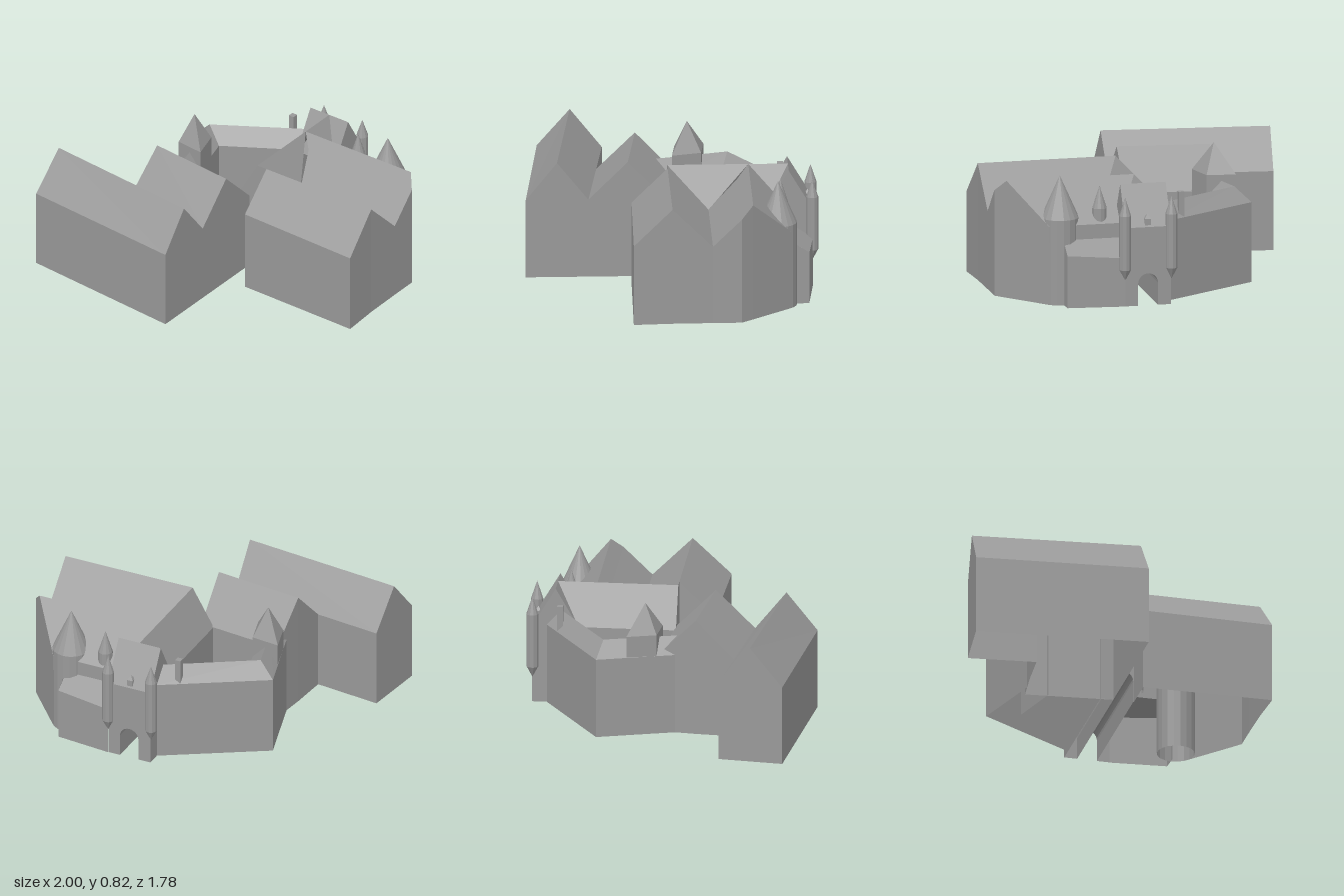
import * as THREE from 'three';

// The buildings are hollow shells, open underneath
const stone = new THREE.MeshStandardMaterial({ color: 0x999999, side: THREE.DoubleSide });
stone.name = 'stone';

// Faceted mesh
function part(group, name, geometry) {
  const g = geometry.index ? geometry.toNonIndexed() : geometry;
  g.computeVertexNormals();
  const mesh = new THREE.Mesh(g, stone);
  mesh.name = name;
  group.add(mesh);
  return mesh;
}

// Shell through matching cross-sections of [x, y, z]; caps is 'both', 'first' or 'none'
function loft(sections, caps = 'none', closed = false) {
  const tris = [];
  const add = (a, b, c) => {
    const [p, q, r] = [a, b, c].map((v) => new THREE.Vector3(...v));
    const area = q.clone().sub(p).cross(r.clone().sub(p)).length();
    if (area > 1e-7) tris.push([p, q, r]);
  };
  const n = sections[0].length;
  for (let i = 0; i + 1 < sections.length; i++) {
    const s = sections[i], t = sections[i + 1];
    for (let j = 0; j < (closed ? n : n - 1); j++) {
      const k = (j + 1) % n;
      add(s[j], s[k], t[k]);
      add(s[j], t[k], t[j]);
    }
  }
  const first = sections[0], last = sections[sections.length - 1];
  for (let j = 1; j + 1 < n; j++) {
    if (caps !== 'none') add(first[0], first[j + 1], first[j]);
    if (caps === 'both') add(last[0], last[j], last[j + 1]);
  }
  // Turn the shell outward if it came out inside-out
  const c = new THREE.Vector3(...first[0]);
  let volume = 0;
  for (const [p, q, r] of tris) {
    volume += p.clone().sub(c).dot(q.clone().sub(c).cross(r.clone().sub(c)));
  }
  const points = [];
  for (const [p, q, r] of tris) points.push(...(volume >= 0 ? [p, q, r] : [p, r, q]));
  return new THREE.BufferGeometry().setFromPoints(points);
}

// Cross-section of a wing from plan points [x, z] of its walls and ridge
function gable(back, ridge, front, eave, top) {
  return [
    [back[0], 0, back[1]],
    [back[0], eave, back[1]],
    [ridge[0], top, ridge[1]],
    [front[0], eave, front[1]],
    [front[0], 0, front[1]],
  ];
}

// Outline of the arched passage, from left foot to right foot
const ARCH = { x: 0.1235, r: 0.0625, spring: 0.1375 };
const archOutline = [[ARCH.x - ARCH.r, 0]];
for (let i = 0; i <= 12; i++) {
  const a = Math.PI * (1 - i / 12);
  archOutline.push([ARCH.x + ARCH.r * Math.cos(a), ARCH.spring + ARCH.r * Math.sin(a)]);
}
archOutline.push([ARCH.x + ARCH.r, 0]);

// Flat wall at z with the arch cut out of its foot
function archedWall(x0, x1, top, z) {
  const outline = [[x0, 0], ...archOutline, [x1, 0], ...top];
  return new THREE.ShapeGeometry(new THREE.Shape(outline.map(([x, y]) => new THREE.Vector2(x, y))))
    .translate(0, 0, z);
}

function roundTower(group, name, x, z, sides, profile) {
  const pts = profile.map(([r, y]) => new THREE.Vector2(r, y));
  part(group, name, new THREE.LatheGeometry(pts, sides)).position.set(x, 0, z);
}

function box(group, name, x, z, w, y0, y1) {
  part(group, name, new THREE.BoxGeometry(w, y1 - y0, w)).position.set(x, (y0 + y1) / 2, z);
}

export function createModel() {
  const castle = new THREE.Group();
  castle.name = 'castle';
  const top = 0.733;

  // Two parallel houses joined at the valley: west x, z, east z, roof height
  part(castle, 'frontHouses', loft([
    [-0.48, -0.035, 0.025, 0.495],
    [-0.51, 0.2, 0.265, top],
    [-0.53, 0.435, 0.505, 0.495],
    [-0.95, 0.385, 0.505, 0.495],
    [-0.975, 0.58, 0.697, top],
    [-1, 0.78, 0.888, 0.495],
  ].map(([x, zw, ze, y]) => [[x, 0, zw], [x, y, zw], [0.06, y, ze], [0.06, 0, ze]]), 'both'));

  // Great hall: the half in front of the first ridge
  part(castle, 'hallFront', loft([
    [[0.19, 0, 0.247], [0.19, 0.517, 0.247], [1, 0.505, 0.264], [1, 0, 0.264]],
    [[0.19, 0, 0.027], [0.19, top, 0.027], [0.985, top, 0.027], [0.985, 0, 0.027]],
  ], 'first'));

  // Remaining hall roofs, mitred into the passage wing, with the chamfered east wall
  part(castle, 'hallRear', loft([
    // west x, east x, z, roof height
    [0.1225, 0.985, 0.027, top],
    [0.265, 0.981, -0.22, 0.49],
    [0.1965, 0.98, -0.397, 0.662],
    [0.1225, 0.92, -0.468, top],
    [0.265, 0.71, -0.71, 0.49],
  ].map(([xw, xe, z, y]) => [[xw, y, z], [xe, y, z], [xe, 0, z]])));
  part(castle, 'hallBackWall', loft([0.265, 0.71].map((x) => [[x, 0.39, -0.71], [x, 0.49, -0.71]])));

  // Passage wing with its arched front and tunnel
  part(castle, 'passageWing', loft([0.027, -0.71].map((z) =>
    [[-0.02, 0, z], [-0.02, 0.49, z], [0.1225, top, z]])));
  part(castle, 'passageEastSlope', loft([
    [[0.1225, top, 0.027], [0.1225, top, 0.027]],
    [[0.1225, top, -0.22], [0.265, 0.49, -0.22]],
    [[0.1225, top, -0.468], [0.1225, top, -0.468]],
    [[0.1225, top, -0.71], [0.265, 0.49, -0.71]],
  ]));
  part(castle, 'passageFront', archedWall(-0.02, 0.19, [[0.19, top], [0.1225, top], [-0.02, 0.49]], 0.027));
  part(castle, 'passageTunnel', loft([0.027, -0.855].map((z) => archOutline.map(([x, y]) => [x, y, z]))));

  // Gatehouse
  part(castle, 'gateWall', archedWall(-0.02, 0.265, [[0.265, 0.3], [-0.02, 0.3]], -0.855));
  part(castle, 'gateSideWall', loft([-0.855, -0.71].map((z) => [[-0.02, 0, z], [-0.02, 0.49, z]])));
  part(castle, 'gatehouseRoof', loft([-0.02, 0.265].map((x) =>
    [[x, 0.3, -0.855], [x, 0.49, -0.855], [x, top, -0.71], [x, 0.49, -0.57]]), 'both'));

  // Lean-to beside the gatehouse
  const leanY = (z) => 0.4 + 0.66 * (z + 0.71);
  part(castle, 'leanTo', loft([[0.265, -0.858], [0.62, -0.822]].map(([x, z]) =>
    [[x, 0, z], [x, leanY(z), z], [x, 0.4, -0.71]])));
  part(castle, 'leanToEndWall', loft([[0.62, -0.822], [0.625, -0.71]].map(([x, z]) =>
    [[x, 0, z], [x, leanY(z), z]])));

  // Bent wing linking the gatehouse to the houses
  part(castle, 'courtyardWing', loft([
    gable([-0.02, -0.765], [-0.02, -0.675], [-0.02, -0.57], 0.5, 0.597),
    gable([-0.63, -0.4], [-0.53, -0.365], [-0.43, -0.325], 0.5, 0.597),
    gable([-0.525, -0.04], [-0.435, -0.03], [-0.345, -0.02], 0.5, 0.597),
    gable([-0.494, 0.07], [-0.405, 0.09], [-0.34, 0.0], 0.5, 0.597),
  ]));

  // Square tower with a pyramid roof astride the bent wing
  const corners = [[-0.575, -0.22], [-0.395, -0.2], [-0.345, -0.02], [-0.525, -0.04]];
  const ring = (y) => corners.map(([x, z]) => [x, y, z]);
  part(castle, 'squareTower', loft(
    [ring(0.49), ring(0.635), corners.map(() => [-0.46, 0.82, -0.115])], 'none', true));

  // Round towers and hanging gate turrets
  roundTower(castle, 'roundTower', 0.625, -0.63, 18, [[0.117, 0], [0.117, 0.53], [0, 0.79]]);
  roundTower(castle, 'stairTurret', 0.382, -0.655, 12, [[0.045, 0.4], [0.045, 0.58], [0, 0.72]]);
  for (const x of [-0.023, 0.267]) {
    roundTower(castle, 'gateTurret', x, -0.853, 10,
      [[0, 0.16], [0.037, 0.23], [0.037, 0.568], [0, 0.68]]);
  }

  // Chimney and small roof lantern
  box(castle, 'chimney', -0.125, -0.672, 0.036, 0.49, 0.66);
  box(castle, 'lanternBase', 0.123, -0.83, 0.038, 0.49, 0.54);
  const cap = part(castle, 'lanternCap', new THREE.ConeGeometry(0.028, 0.03, 4).rotateY(Math.PI / 4));
  cap.position.set(0.123, 0.555, -0.83);

  return castle;
}
